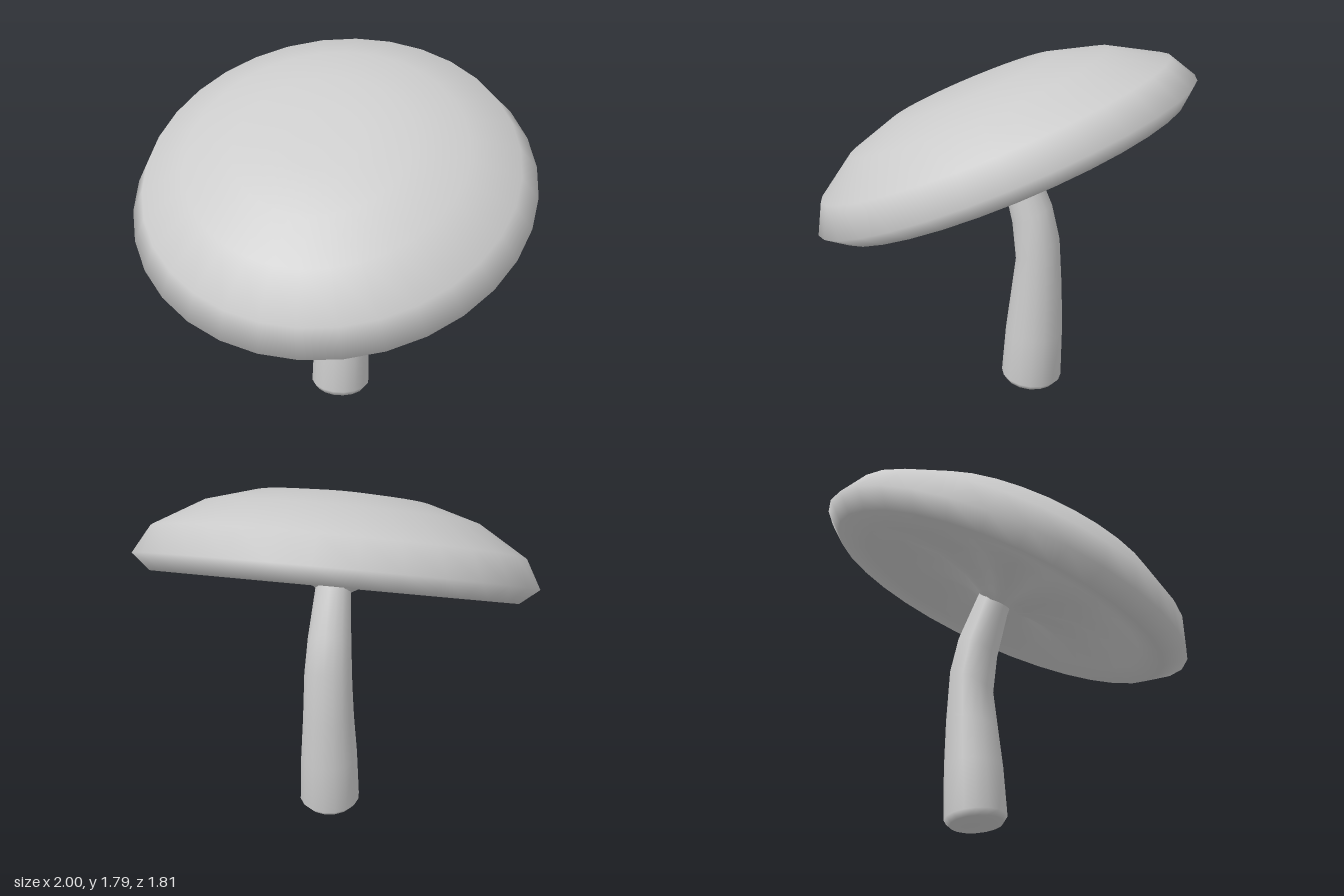
import * as THREE from 'three';
import { mergeVertices } from 'three/addons/utils/BufferGeometryUtils.js';

const material = new THREE.MeshStandardMaterial({ color: 0xcccccc });

// Weld seams and give smooth normals
function smooth(geometry) {
  geometry.deleteAttribute('uv');
  geometry.deleteAttribute('normal');
  const welded = mergeVertices(geometry, 1e-4);
  welded.computeVertexNormals();
  return welded;
}

// Cap: one closed profile, from the stem collar out under the rim and over the top
function makeCap() {
  const sides = 32;
  // radius, height, forward shift, depth of the folds on the underside
  const rings = [
    [0, 0, -0.01, 0], [0.085, -0.05, -0.01, 0], [0.13, -0.02, 0, 0.008], [0.23, 0.025, 0, 0.02],
    [0.4, 0.06, 0, 0.028], [0.6, 0.045, 0, 0.02], [0.76, -0.01, 0, 0], [0.907, -0.03, -0.012, 0],
    [1.003, 0.047, -0.006, 0], [0.925, 0.19, -0.003, 0], [0.69, 0.335, 0.018, 0],
    [0.435, 0.412, 0.02, 0], [0.2, 0.432, 0.01, 0], [0, 0.433, 0.01, 0],
  ];
  const profile = rings.map(([r, y]) => new THREE.Vector2(r, y));
  const geometry = new THREE.LatheGeometry(profile, sides, Math.PI / sides);

  // Shift each ring and press radiating folds into the underside
  const pos = geometry.attributes.position;
  for (let i = 0; i < pos.count; i++) {
    const [, , shift, fold] = rings[i % rings.length];
    const a = Math.atan2(pos.getX(i), pos.getZ(i));
    const wave = 0.65 * Math.cos(7 * a) + 0.35 * Math.sin(4 * a + 0.6);
    pos.setY(i, pos.getY(i) + fold * wave);
    pos.setZ(i, pos.getZ(i) + shift);
  }
  const cap = new THREE.Mesh(smooth(geometry), material);
  cap.name = 'cap';
  cap.rotation.x = THREE.MathUtils.degToRad(24.9);
  cap.position.set(0, 1.21, -0.018);
  return cap;
}

// Stem: tilted rings along a bent centre line, sunk into the collar
function makeStem() {
  const sides = 16;
  // height, depth, radius, tilt in degrees
  const rings = [
    [0.012, -0.15, 0, -5], [0.012, -0.15, 0.132, -5], [0.042, -0.155, 0.155, -5],
    [0.3, -0.168, 0.146, -2], [0.53, -0.179, 0.131, 8], [0.765, -0.184, 0.122, 28],
    [0.95, -0.152, 0.11, 28], [1.175, -0.075, 0.09, 30], [1.25, -0.04, 0.088, 27],
  ];
  const positions = [], index = [];
  rings.forEach(([y, z, r, tilt], k) => {
    const t = THREE.MathUtils.degToRad(tilt);
    for (let j = 0; j < sides; j++) {
      const a = (j / sides) * Math.PI * 2;
      const d = r * Math.cos(a);
      positions.push(r * Math.sin(a), y - d * Math.sin(t), z + d * Math.cos(t));
      if (k === 0) continue;
      const n = (j + 1) % sides, lo = (k - 1) * sides, hi = k * sides;
      index.push(lo + j, lo + n, hi + n);
      index.push(lo + j, hi + n, hi + j);
    }
  });
  const geometry = new THREE.BufferGeometry();
  geometry.setAttribute('position', new THREE.Float32BufferAttribute(positions, 3));
  geometry.setIndex(index);
  const stem = new THREE.Mesh(smooth(geometry), material);
  stem.name = 'stem';
  return stem;
}

export function createModel() {
  const mushroom = new THREE.Group();
  mushroom.name = 'mushroom';
  mushroom.add(makeCap(), makeStem());
  return mushroom;
}
